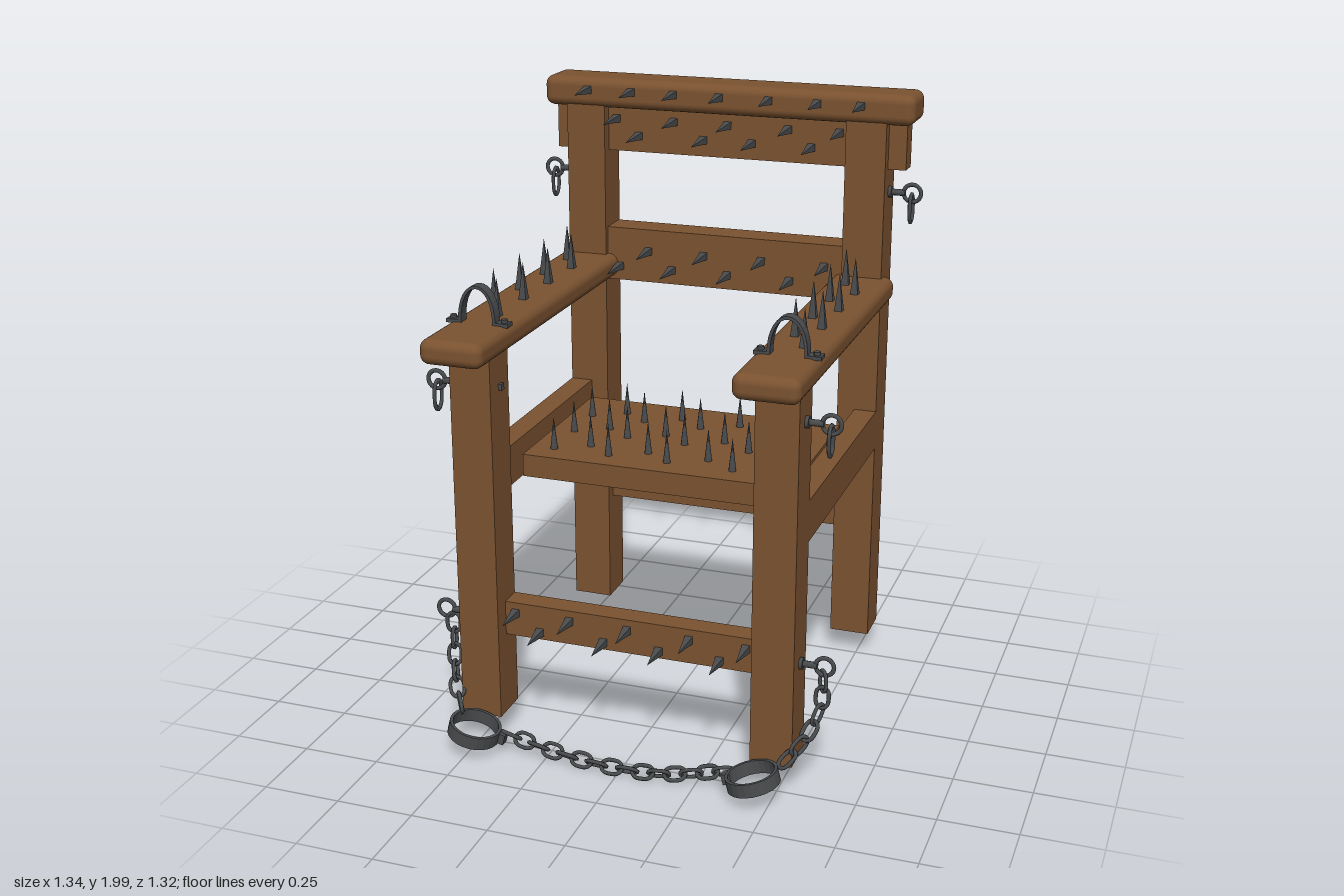
import * as THREE from 'three';
import { RoundedBoxGeometry } from 'three/addons/geometries/RoundedBoxGeometry.js';

const wood = new THREE.MeshStandardMaterial({ color: 0x7a5230 });
wood.name = 'brown wood';
const iron = new THREE.MeshStandardMaterial({ color: 0x484a4c });
iron.name = 'dark iron';
const ironBand = new THREE.MeshStandardMaterial({ color: 0x484a4c, side: THREE.DoubleSide });
ironBand.name = 'dark iron band';

const V = (x, y, z) => new THREE.Vector3(x, y, z);

export function createModel() {
  const model = new THREE.Group();
  model.name = 'spikedChair';

  function add(name, geometry, material, x = 0, y = 0, z = 0) {
    const mesh = new THREE.Mesh(geometry, material);
    mesh.name = name;
    mesh.position.set(x, y, z);
    model.add(mesh);
    return mesh;
  }
  // Beam given by its extents; a radius rounds its edges
  function beam(name, x0, x1, y0, y1, z0, z1, radius = 0) {
    const size = [x1 - x0, y1 - y0, z1 - z0];
    const geo = radius ? new RoundedBoxGeometry(...size, 4, radius) : new THREE.BoxGeometry(...size);
    return add(name, geo, wood, (x0 + x1) / 2, (y0 + y1) / 2, (z0 + z1) / 2);
  }

  // Wooden frame
  for (const [side, x0, x1] of [['right', -0.57, -0.435], ['left', 0.405, 0.54]]) {
    beam(side + 'FrontLeg', x0, x1, 0.09, 1.32, 0.345, 0.48);
    beam(side + 'BackLeg', x0, x1, 0.09, 1.92, -0.635, -0.5);
    beam(side + 'Armrest', x0 - 0.035, x1 + 0.035, 1.31, 1.39, -0.555, 0.62, 0.03);
    const outer = side === 'right' ? x0 : x1 - 0.075;
    beam(side + 'SeatRail', outer, outer + 0.075, 0.79, 0.925, -0.5, 0.345);
  }
  beam('topRail', -0.65, 0.63, 1.9, 2, -0.66, -0.49, 0.03);
  beam('upperBackPlank', -0.62, 0.6, 1.75, 1.9, -0.61, -0.54);
  beam('middleBackPlank', -0.435, 0.405, 1.3, 1.485, -0.63, -0.52);
  beam('backStretcher', -0.435, 0.405, 0.475, 0.58, -0.615, -0.54);
  beam('frontStretcher', -0.435, 0.405, 0.36, 0.475, 0.345, 0.42);
  beam('seat', -0.465, 0.435, 0.815, 0.89, -0.42, 0.185);

  // Spikes: square-based ones on the rails and arms, round ones on the seat
  const squareSpike = new THREE.ConeGeometry(0.018, 1, 4).toNonIndexed();
  squareSpike.rotateY(Math.PI / 4).translate(0, 0.5, 0).computeVertexNormals();
  const roundSpike = new THREE.ConeGeometry(0.013, 1, 8).translate(0, 0.5, 0);
  const spike = (name, geo, length, x, y, z, forward) => {
    const s = add(name, geo, iron, x, y, z);
    s.scale.y = length;
    if (forward) s.rotation.x = Math.PI / 2;
  };
  const forwardRows = [
    ['topRailSpike', 1.96, -0.49, 0.12, [-0.49, -0.335, -0.185, -0.025, 0.145, 0.31, 0.455]],
    ['upperBackSpike', 1.86, -0.54, 0.13, [-0.405, -0.2, -0.01, 0.2, 0.375]],
    ['upperBackSpike', 1.805, -0.54, 0.13, [-0.325, -0.095, 0.075, 0.28]],
    ['middleBackSpike', 1.41, -0.52, 0.13, [-0.285, -0.085, 0.12, 0.34]],
    ['middleBackSpike', 1.35, -0.52, 0.13, [-0.39, -0.2, 0, 0.22]],
    ['stretcherSpike', 0.44, 0.42, 0.105, [-0.4, -0.215, -0.02, 0.185, 0.37]],
    ['stretcherSpike', 0.385, 0.42, 0.105, [-0.317, -0.1, 0.085, 0.285]],
  ];
  for (const [name, y, z, length, xs] of forwardRows)
    for (const x of xs) spike(name, squareSpike, length, x, y, z, true);
  [-0.3, -0.24, -0.132, -0.075, 0.04, 0.1].forEach((z, i) => {
    const xs = i % 2 === 0 ? [-0.285, -0.085, 0.12, 0.335] : [-0.39, -0.2, 0, 0.22];
    // Rows come in offset pairs
    for (const x of xs) spike('seatSpike', roundSpike, 0.11, x, 0.89, z);
  });
  for (let i = 0; i < 8; i++) {
    const z = -0.4 + i * 0.101;
    for (const x of [-0.51, 0.473]) spike('armSpike', squareSpike, 0.12, x + (i % 2 ? 0.028 : -0.028), 1.39, z);
  }

  // Wrist straps: arched band with bolted flanges
  const arch = new THREE.Shape();
  arch.moveTo(-0.062, 0);
  arch.bezierCurveTo(-0.064, 0.16, 0.064, 0.16, 0.062, 0);
  arch.lineTo(0.052, 0);
  arch.bezierCurveTo(0.054, 0.147, -0.054, 0.147, -0.052, 0);
  const archGeo = new THREE.ExtrudeGeometry(arch, { depth: 0.038, bevelEnabled: false, curveSegments: 16 });
  for (const x of [-0.505, 0.478]) {
    add('wristStrap', archGeo, iron, x, 1.39, 0.372);
    for (const s of [-1, 1]) {
      add('strapFlange', new THREE.BoxGeometry(0.045, 0.012, 0.038), iron, x + s * 0.08, 1.392, 0.391);
      add('strapBolt', new THREE.CylinderGeometry(0.011, 0.011, 0.012, 8), iron, x + s * 0.085, 1.402, 0.391);
    }
  }

  // Oval chain link, long axis along y, lying in the xy plane
  const oval = [];
  for (let i = 0; i < 16; i++) {
    const a = (i / 16) * Math.PI * 2;
    oval.push(V(Math.cos(a) * 0.022, Math.sin(a) * 0.026 + Math.sign(Math.round(Math.sin(a) * 100)) * 0.008, 0));
  }
  const linkGeo = new THREE.TubeGeometry(new THREE.CatmullRomCurve3(oval, true), 24, 0.0065, 6, true);
  function chain(name, points) {
    const curve = new THREE.CatmullRomCurve3(points);
    const count = Math.round(curve.getLength() / 0.053);
    for (let i = 0; i < count; i++) {
      const u = (i + 0.5) / count;
      const p = curve.getPointAt(u);
      const link = add(name, linkGeo, iron, p.x, p.y, p.z);
      link.quaternion.setFromUnitVectors(V(0, 1, 0), curve.getTangentAt(u));
      link.rotateY(Math.PI * (i % 2 ? 0.75 : 0.25));
    }
  }

  // Wall pegs with rings on the outer leg faces; the upper ones carry a loose link
  const ringGeo = new THREE.TorusGeometry(0.029, 0.007, 8, 20);
  const pegGeo = new THREE.CylinderGeometry(0.011, 0.011, 0.06, 8).rotateZ(Math.PI / 2);
  const plateGeo = new THREE.CylinderGeometry(0.02, 0.02, 0.012, 8).rotateZ(Math.PI / 2);
  for (const s of [-1, 1]) {
    const face = s < 0 ? -0.57 : 0.54;
    for (const [y, z] of [[1.67, -0.57], [1.197, 0.41], [0.415, 0.41]]) {
      add('ringPlate', plateGeo, iron, face + s * 0.005, y, z);
      add('ringPeg', pegGeo, iron, face + s * 0.025, y, z);
      add('ring', ringGeo, iron, face + s * 0.078, y, z);
      if (y > 1) {
        const link = add('hangingLink', linkGeo, iron, face + s * 0.076, y - 0.05, z);
        link.rotation.y = Math.PI / 2;
        link.scale.set(1.15, 1.35, 1);
      }
    }
  }
  add('pegEnd', new THREE.BoxGeometry(0.014, 0.02, 0.02), iron, -0.431, 1.197, 0.41);

  // Ankle cuffs, tilted down towards the middle
  const cuffProfile = [[0.074, -0.022], [0.084, -0.022], [0.084, 0.022], [0.074, 0.022], [0.074, -0.022]];
  const cuffGeo = new THREE.LatheGeometry(cuffProfile.map((p) => new THREE.Vector2(...p)), 24).toNonIndexed();
  cuffGeo.computeVertexNormals();
  for (const [x, s] of [[-0.487, -1], [0.443, 1]]) {
    const cuff = add('ankleCuff', cuffGeo, ironBand, x, 0.085, 0.572);
    cuff.rotation.z = s * 0.25;
    const lug = add('cuffLug', new THREE.BoxGeometry(0.03, 0.035, 0.03), iron, x - s * 0.085, 0.062, 0.555);
    lug.rotation.z = s * 0.25;
  }

  // Chains from the rings to the cuffs, and between the cuffs
  chain('sideChain', [V(-0.625, 0.395, 0.41), V(-0.62, 0.28, 0.42), V(-0.595, 0.19, 0.47), V(-0.55, 0.12, 0.53)]);
  chain('sideChain', [V(0.615, 0.395, 0.41), V(0.61, 0.28, 0.42), V(0.575, 0.19, 0.47), V(0.52, 0.12, 0.53)]);
  chain('ankleChain', [V(-0.4, 0.07, 0.535), V(-0.25, 0.05, 0.555), V(-0.05, 0.036, 0.57),
    V(0.15, 0.038, 0.56), V(0.36, 0.065, 0.515)]);

  return model;
}
